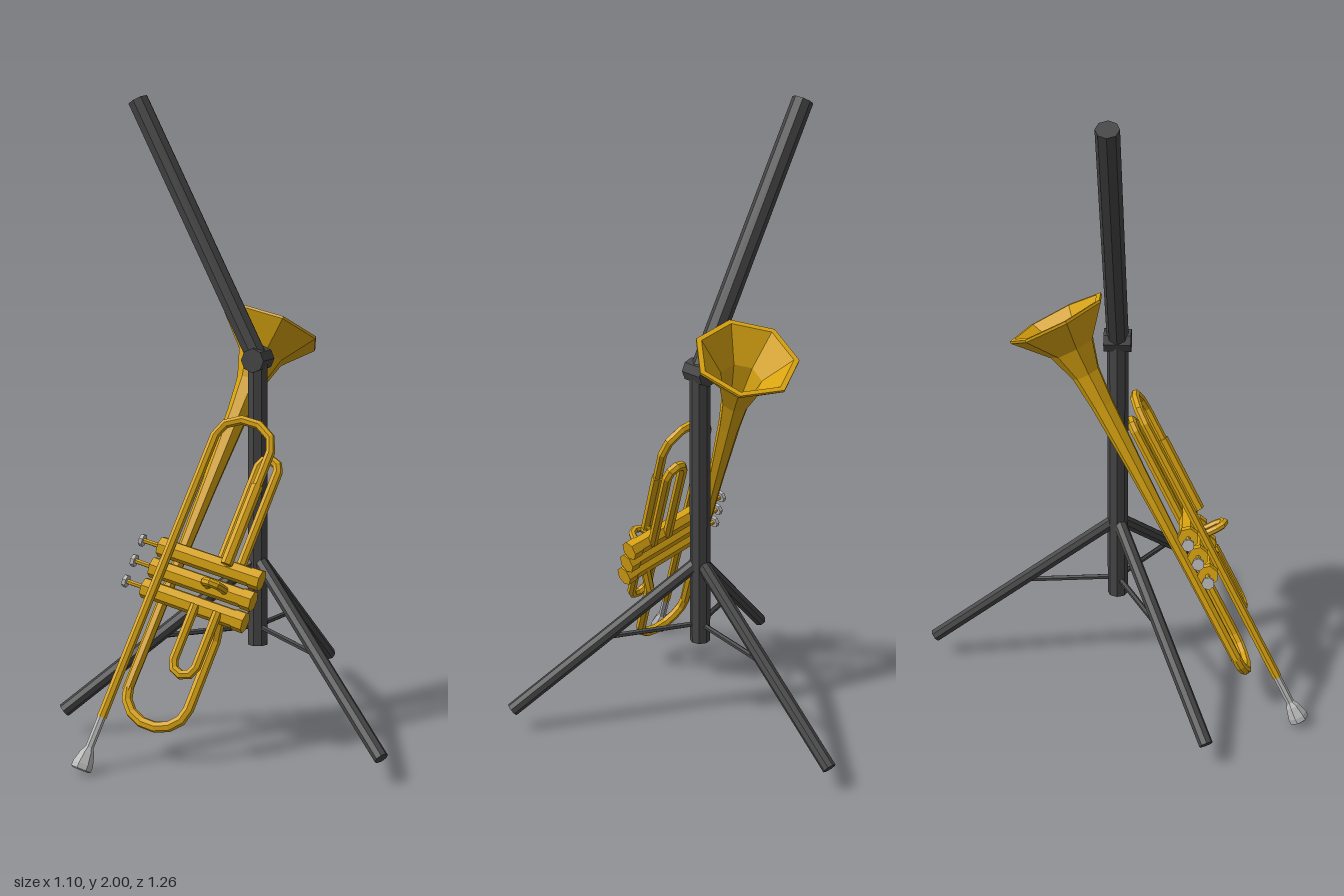
import * as THREE from 'three';

const mat = (name, color) => {
  const m = new THREE.MeshStandardMaterial({ color, flatShading: true, side: THREE.DoubleSide });
  m.name = name;
  return m;
};
const V = (x, y, z) => new THREE.Vector3(x, y, z);

// Polyline path whose corners land exactly on the tube rings
class Polyline extends THREE.Curve {
  constructor(points) { super(); this.points = points; }
  getPoint(t, target = new THREE.Vector3()) {
    const n = this.points.length - 1;
    const f = Math.min(Math.max(t, 0), 1) * n;
    const i = Math.min(Math.floor(f), n - 1);
    return target.lerpVectors(this.points[i], this.points[i + 1], f - i);
  }
  getPointAt(t, target) { return this.getPoint(t, target); }
  getTangentAt(t, target) { return this.getTangent(t, target); }
}

function add(parent, name, geometry, material) {
  const mesh = new THREE.Mesh(geometry, material);
  mesh.name = name;
  parent.add(mesh);
  return mesh;
}

// Straight cylinder between two points
function rod(parent, name, a, b, r, material, sides = 8) {
  const dir = b.clone().sub(a);
  const mesh = add(parent, name, new THREE.CylinderGeometry(r, r, dir.length(), sides), material);
  mesh.position.copy(a).add(b).multiplyScalar(0.5);
  mesh.quaternion.setFromUnitVectors(V(0, 1, 0), dir.normalize());
  return mesh;
}

function pipe(parent, name, points, r, material) {
  return add(parent, name, new THREE.TubeGeometry(new Polyline(points), points.length - 1, r, 7), material);
}

// Half-ellipse bend from u0 to u1, bulging by h along the instrument
function bend(u0, u1, s, h, w, steps) {
  const out = [];
  for (let i = 0; i <= steps; i++) {
    const a = Math.PI * i / steps;
    out.push(V((u0 + u1) / 2 - Math.cos(a) * (u1 - u0) / 2, s + Math.sin(a) * h, w));
  }
  return out;
}

function lathe(parent, name, profile, material, phi = 0) {
  const pts = profile.map(([r, y]) => new THREE.Vector2(r, y));
  return add(parent, name, new THREE.LatheGeometry(pts, 7, phi), material);
}

function buildStand(dark) {
  const stand = new THREE.Group();
  stand.name = 'stand';
  rod(stand, 'post', V(0, 0.28, 0), V(0, 1.19, 0), 0.033, dark);
  rod(stand, 'upperArm', V(0, 1.19, 0), V(-0.41, 1.985, 0), 0.034, dark);
  rod(stand, 'hinge', V(0, 1.19, -0.042), V(0, 1.19, 0.042), 0.038, dark);

  // Three splayed legs, each with a thin brace
  for (let i = 0; i < 3; i++) {
    const a = Math.PI + i * Math.PI * 2 / 3;
    const at = (r, y) => V(Math.sin(a) * r, y, Math.cos(a) * r);
    rod(stand, 'leg', at(0, 0.56), at(0.615, 0.08), 0.022, dark);
    rod(stand, 'legBrace', at(0, 0.34), at(0.31, 0.315), 0.009, dark, 6);
  }
  return stand;
}

// Local frame: x across the valves, y from mouthpiece to bell, z toward the front
function buildTrumpet(gold, silver) {
  const horn = new THREE.Group();
  horn.name = 'trumpet';

  // Mouthpiece
  lathe(horn, 'mouthpiece', [[0.001, 0.02], [0.024, 0], [0.032, 0.004], [0.032, 0.02], [0.022, 0.055],
    [0.013, 0.07], [0.013, 0.18]], silver);

  // Lead pipe, front tuning bend and return to the last valve
  pipe(horn, 'leadPipe', [V(0, 0.165, 0), V(0, 0.6, 0), ...bend(0, 0.19, 1.09, 0.075, 0, 5),
    V(0.19, 0.75, 0), V(0.19, 0.71, -0.03)], 0.015, gold);
  rod(horn, 'tuningSleeve', V(0.19, 0.72, 0), V(0.19, 0.98, 0), 0.019, gold, 7);

  // Bell with a thick rim and open throat
  const bell = lathe(horn, 'bell', [[0.017, 0.27], [0.019, 0.65], [0.026, 0.95], [0.036, 1.2], [0.046, 1.31],
    [0.075, 1.4], [0.163, 1.495], [0.163, 1.503], [0.146, 1.503], [0.066, 1.405],
    [0.038, 1.31], [0.028, 1.2], [0.001, 1.1]], gold, 1.38);
  bell.position.set(0.01, 0, -0.09);

  // Rear bow from the bell pipe up to the first valve
  pipe(horn, 'rearBow', [...bend(0.01, 0.215, 0.28, -0.085, -0.09, 7),
    V(0.215, 0.5, -0.09), V(0.215, 0.575, -0.05)], 0.017, gold);

  // Valves with caps, stems and buttons
  for (const s of [0.577, 0.645, 0.713]) {
    const at = u => V(u, s, -0.04);
    rod(horn, 'valve', at(-0.03), at(0.29), 0.03, gold, 7);
    rod(horn, 'valveTopCap', at(-0.045), at(-0.015), 0.033, gold, 7);
    rod(horn, 'valveBottomCap', at(0.265), at(0.3), 0.033, gold, 7);
    rod(horn, 'valveStem', at(-0.105), at(-0.04), 0.008, gold, 6);
    rod(horn, 'valveButton', at(-0.115), at(-0.103), 0.02, silver, 7);
  }

  // Valve slides: rearward, forward, and a short one sticking out in front
  pipe(horn, 'firstSlide', [V(0.14, 0.577, -0.015), ...bend(0.14, 0.215, 0.4, -0.035, -0.015, 4),
    V(0.215, 0.577, -0.015)], 0.015, gold);
  pipe(horn, 'thirdSlide', [V(0.15, 0.713, -0.06), ...bend(0.15, 0.215, 1.05, 0.03, -0.06, 4),
    V(0.215, 0.713, -0.06)], 0.016, gold);
  const second = pipe(horn, 'secondSlide', [V(0.155, 0, 0), ...bend(0.155, 0.21, 0.065, 0.03, 0, 4),
    V(0.21, 0, 0)], 0.013, gold);
  second.rotation.x = Math.PI / 2;
  second.position.set(0, 0.645, -0.04);

  // Lean the instrument against the post
  const y = V(0.184, 0.864, -0.469).normalize();
  const z = V(0.975, -0.22, -0.022).cross(y).normalize();
  const x = y.clone().cross(z);
  horn.quaternion.setFromRotationMatrix(new THREE.Matrix4().makeBasis(x, y, z));
  horn.position.set(-0.305, 0.017, 0.602);
  return horn;
}

export function createModel() {
  const dark = mat('dark grey metal', 0x454545);
  const gold = mat('brass', 0xd9a411);
  const silver = mat('silver', 0xb9b9b9);
  const model = new THREE.Group();
  model.name = 'trumpetOnStand';
  model.add(buildStand(dark), buildTrumpet(gold, silver));
  return model;
}
